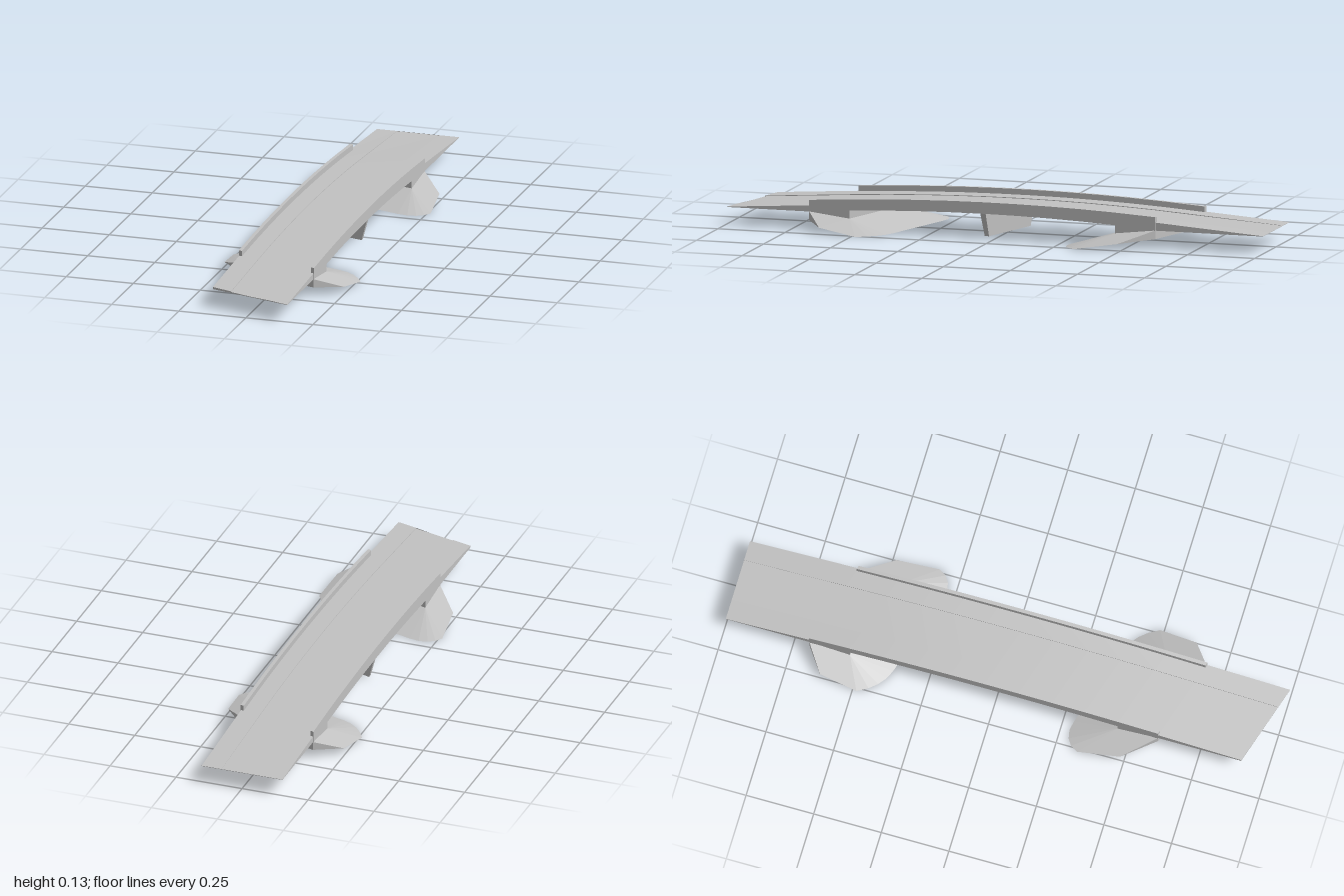
import * as THREE from 'three';

const SKEW = 0.3, W = 0.153, KERB = 0.078;

// Flat-shaded mesh from a list of polygons (each drawn as a fan)
function polyMesh(name, polys, material) {
  const pos = [];
  for (const p of polys) {
    for (let i = 1; i < p.length - 1; i++) {
      const [a, b, c] = [p[0], p[i], p[i + 1]].map(q => new THREE.Vector3(...q));
      const area = b.clone().sub(a).cross(c.clone().sub(a)).length();
      if (area > 1e-9) pos.push(...p[0], ...p[i], ...p[i + 1]);
    }
  }
  const g = new THREE.BufferGeometry();
  g.setAttribute('position', new THREE.Float32BufferAttribute(pos, 3));
  g.computeVertexNormals();
  const mesh = new THREE.Mesh(g, material);
  mesh.name = name;
  return mesh;
}

// Closed solid through successive cross-sections
function loft(name, rings, material) {
  const polys = [[...rings[0]].reverse(), rings[rings.length - 1]];
  for (let r = 0; r < rings.length - 1; r++) {
    const n = rings[r].length;
    for (let i = 0; i < n; i++) {
      const j = (i + 1) % n;
      polys.push([rings[r][i], rings[r][j], rings[r + 1][j], rings[r + 1][i]]);
    }
  }
  return polyMesh(name, polys, material);
}

// Arched road surface, running straight on the ramps
function topY(z) {
  const a = Math.abs(z);
  return a < 0.69 ? 0.111 - 0.0546 * a * a : 0.085 - 0.068 * (a - 0.69);
}

// Underside: shallow arch in the span, level under the ramps
function bottomY(c) {
  const a = Math.abs(c);
  if (a <= 0.495) return 0.09 - 0.015 * (a / 0.495) ** 2;
  return Math.max(0.0625, 0.075 - (a - 0.495) * 0.0834);
}

export function createModel() {
  const model = new THREE.Group();
  model.name = 'bridge';
  const concrete = new THREE.MeshStandardMaterial({ color: 0xc2c2c2 });
  concrete.name = 'concrete grey';

  // Stations along the span; everything but the back tip is skewed
  const span = [-0.645, -0.495, -0.37, -0.25, -0.125, 0, 0.125, 0.25, 0.37, 0.495, 0.645];
  const at = (c, k, x) => c + k * x;

  // Deck with a sunken roadway between two raised walkways
  const stations = [[-1, 0], ...span.map(c => [c, SKEW]), [0.952, SKEW]];
  model.add(loft('deck', stations.map(([c, k]) => {
    const b = bottomY(c);
    const top = (x, drop) => [x, Math.max(topY(at(c, k, x)) - drop, b + 0.0005), at(c, k, x)];
    return [
      [-W, b, at(c, k, -W)], [W, b, at(c, k, W)],
      top(W, 0), top(KERB, 0), top(KERB, 0.0025),
      top(-KERB, 0.0025), top(-KERB, 0), top(-W, 0),
    ];
  }), concrete));

  // Parapets
  for (const side of [-1, 1]) {
    const xs = side < 0 ? [-0.155, -0.142] : [0.142, 0.155];
    model.add(loft(side < 0 ? 'rightParapet' : 'leftParapet', span.map(c => {
      const z = xs.map(x => at(c, SKEW, x));
      const b = bottomY(c) - 0.0005;
      return [
        [xs[0], b, z[0]], [xs[1], b, z[1]],
        [xs[1], topY(z[1]) + 0.02, z[1]], [xs[0], topY(z[0]) + 0.02, z[0]],
      ];
    }), concrete));
  }

  // Tapered middle pier, following the skew
  const pierRing = (y, w, t) => [[-w, -t], [-w, t], [w, t], [w, -t]]
    .map(([x, d]) => [x, y, SKEW * x + d]);
  model.add(loft('pier', [pierRing(0.004, 0.125, 0.008), pierRing(0.093, 0.15, 0.01)], concrete));

  // Abutment wall with sloping embankment, made for the front and turned for the back
  function bridgeEnd(name) {
    const group = new THREE.Group();
    group.name = name;

    group.add(loft('abutment', [0.495, 0.644].map(c => {
      const p = (x, y) => [x, y, at(c, SKEW, x)];
      return [p(-W, 0.035), p(W, 0.035), p(W, 0.077), p(-W, 0.077)];
    }), concrete));

    const edge = (x, y, c) => [x, y, at(c, SKEW, x)];
    const aR = edge(-W, 0.063, 0.645), aL = edge(W, 0.063, 0.645);
    const bR = edge(-W, 0.045, 0.495), bL = edge(W, 0.045, 0.495);
    const wR = edge(-W, 0.032, 0.645), wL = edge(W, 0.032, 0.645);
    const oR = [-0.245, 0.023, 0.485], oL = [0.245, 0.023, 0.625];
    const toeR = [[-0.262, 0.33], [-0.246, 0.304], [-0.222, 0.288], [-0.19, 0.282], [-W, 0.289]]
      .map(([x, z]) => [x, 0, z]);
    const toeL = [[W, 0.381], [0.185, 0.395], [0.215, 0.418], [0.24, 0.447], [0.262, 0.485]]
      .map(([x, z]) => [x, 0, z]);
    const lower = [oR, ...toeR, ...toeL, oL];
    const upper = [aR, ...toeR.map(() => bR), ...toeL.map(() => bL), aL];

    const faces = [
      [toeR[0], ...toeR.slice(1), ...toeL],          // base
      [wL, wR, oR, toeR[0], toeL[4], oL],            // rising underside
      [aR, wR, wL, aL], [aR, oR, wR], [aL, wL, oL],  // end face and wings
    ];
    for (let i = 0; i < lower.length - 1; i++) {
      faces.push([lower[i + 1], lower[i], upper[i], upper[i + 1]]);
    }
    group.add(polyMesh('embankment', faces, concrete));
    return group;
  }

  const front = bridgeEnd('frontEnd');
  const back = bridgeEnd('backEnd');
  back.rotation.y = Math.PI;
  model.add(front, back);
  return model;
}
